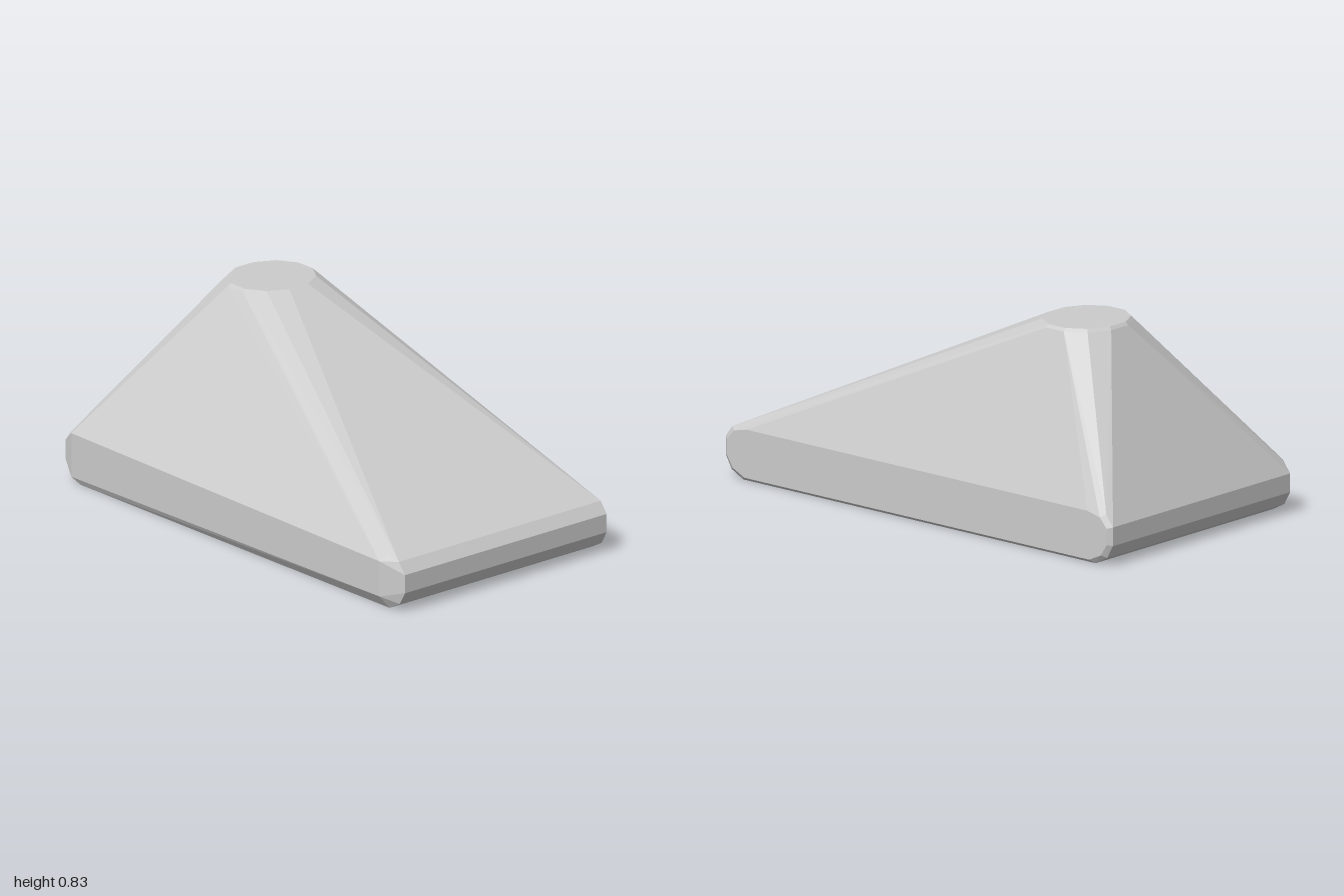
import * as THREE from 'three';
import { ConvexGeometry } from 'three/addons/geometries/ConvexGeometry.js';

export function createModel() {
  const group = new THREE.Group();
  const points = [];
  const add = (x, y, z) => points.push(new THREE.Vector3(x, y, z));

  // Rounded end profile (x, y), mirrored for both ends of the base
  const profile = [[0.91, 0], [0.97, 0.032], [1, 0.085], [1, 0.16], [0.965, 0.205], [0.9, 0.222]];
  for (const side of [-1, 1]) {
    for (const [x, y] of profile) {
      add(side * x, y, 0.507);
      add(side * x, y, -0.53);
      // Slightly shrunken copy makes the bevelled back corners
      add(side * (x - 0.02), 0.11 + (y - 0.11) * 0.88, -0.545);
    }
  }

  // Front face: the right-hand end stands a little further forward
  for (const y of [0.025, 0.205]) add(-0.95, y, 0.52);
  for (const y of [0.05, 0.195]) add(0.89, y, 0.542);

  // Flat round crown with a narrow bevel, set off centre
  for (const [radius, y] of [[0.172, 0.827], [0.184, 0.815]]) {
    for (let i = 0; i < 12; i++) {
      const a = ((i + 0.5) * Math.PI) / 6;
      add(-0.498 + radius * 0.96 * Math.cos(a), y, -0.115 + radius * 1.05 * Math.sin(a));
    }
  }

  // One convex skin spans the base and the crown
  const body = new THREE.Mesh(
    new ConvexGeometry(points),
    new THREE.MeshStandardMaterial({ color: 0xcccccc, flatShading: true })
  );
  body.name = 'taperedBody';
  group.add(body);
  return group;
}
